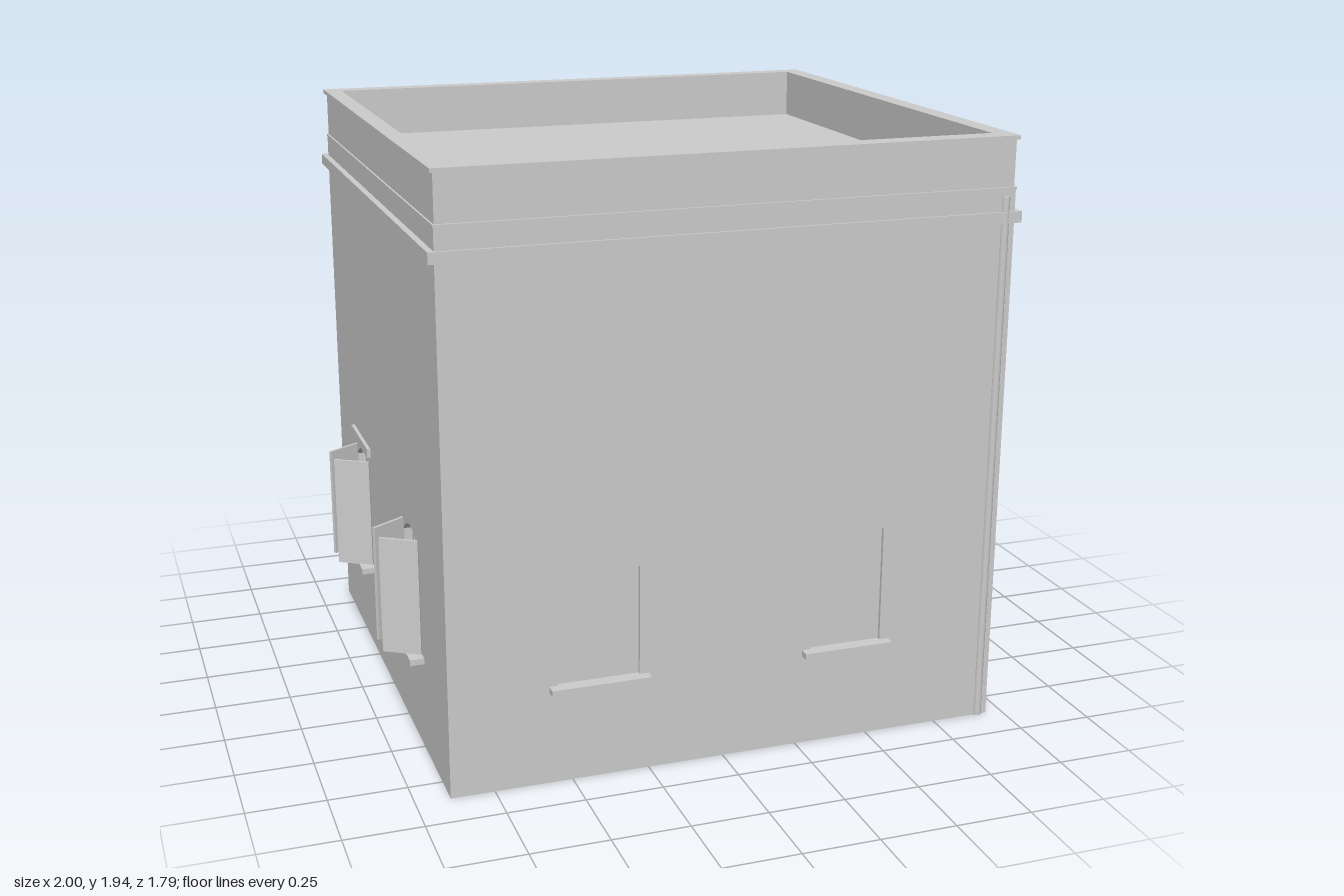
import * as THREE from 'three';

export function createModel() {
  const model = new THREE.Group();
  const plaster = new THREE.MeshStandardMaterial({ color: 0xcccccc });
  plaster.name = 'plaster grey';
  const dark = new THREE.MeshStandardMaterial({ color: 0x0d0d0d });
  dark.name = 'dark interior';

  function add(name, geometry, material = plaster, parent = model) {
    const mesh = new THREE.Mesh(geometry, material);
    mesh.name = name;
    parent.add(mesh);
    return mesh;
  }

  // box given by its limits on each axis
  function box(name, x0, x1, y0, y1, z0, z1, material) {
    const g = new THREE.BoxGeometry(x1 - x0, y1 - y0, z1 - z0);
    g.translate((x0 + x1) / 2, (y0 + y1) / 2, (z0 + z1) / 2);
    return add(name, g, material);
  }

  // rectangle outline; rise bends the top edge into an arch
  function outline(a, b, y0, y1, rise = 0, Type = THREE.Path) {
    const p = new Type();
    p.moveTo(a, y0);
    p.lineTo(b, y0);
    p.lineTo(b, y1 - rise);
    if (rise) p.quadraticCurveTo((a + b) / 2, y1 + rise, a, y1 - rise);
    else p.lineTo(a, y1);
    p.closePath();
    return p;
  }

  function slab(a, b, y0, y1, depth, holes) {
    const shape = outline(a, b, y0, y1, 0, THREE.Shape);
    shape.holes.push(...holes);
    return new THREE.ExtrudeGeometry(shape, { depth, bevelEnabled: false, curveSegments: 10 });
  }

  const L = -0.89, R = 0.945, B = -0.87, F = 0.86, roof = 1.78, wall = 0.06, recess = 0.012;
  const sillY = 0.323, headY = 0.71;

  // solid core, closed at the roof
  box('core', L + wall, R - wall, 0, roof, B, F - recess);

  // front wall with two blind windows
  const frontWindows = [[-0.545, -0.28, 0.685], [0.295, 0.54, headY]];
  const front = slab(L, R, 0, roof, recess, frontWindows.map(([a, b, t]) => outline(a, b, sillY, t)));
  front.translate(0, 0, F - recess);
  add('frontWall', front);
  for (const [a, b] of frontWindows) box('frontSill', a - 0.027, b + 0.03, 0.305, 0.325, F - 0.02, 0.893);

  // right wall: shape x runs along -z
  const right = slab(-(F - recess), -B, 0, roof, wall,
    [outline(-0.53, -0.28, sillY, headY), outline(0.29, 0.535, sillY, headY)]);
  right.rotateY(Math.PI / 2).translate(R - wall, 0, 0);
  add('rightWall', right);
  box('blindWindow', R - wall, R - recess, sillY, headY, -0.535, -0.29);
  box('rightSill', R - 0.02, 0.997, 0.305, 0.325, -0.565, -0.268);
  box('rightSill', R - 0.02, 0.997, 0.305, 0.325, 0.248, 0.55);

  // glazed window with frame bars and flat open shutters
  box('windowDark', R - wall, R - wall + 0.006, sillY, headY, 0.28, 0.53, dark);
  const bar = (y0, y1, z0, z1) => box('windowBar', R - 0.055, R - 0.03, y0, y1, z0, z1);
  bar(sillY, headY, 0.28, 0.302);
  bar(sillY, headY, 0.505, 0.53);
  bar(sillY, headY, 0.393, 0.412);
  bar(0.552, 0.568, 0.28, 0.53);
  bar(headY - 0.012, headY, 0.28, 0.53);
  bar(sillY, sillY + 0.01, 0.28, 0.53);
  box('flatShutter', R, 0.964, sillY, headY, 0.15, 0.28);
  box('flatShutter', R, 0.964, sillY, headY, 0.53, 0.655);

  // left wall with arched windows
  const leftWindows = [-0.42, 0.385];
  const half = 0.115;
  const left = slab(-(F - recess), -B, 0, roof, wall,
    leftWindows.map((z) => outline(-z - half, -z + half, sillY, 0.72, 0.05)));
  left.rotateY(Math.PI / 2).translate(L, 0, 0);
  add('leftWall', left);

  for (const z of leftWindows) {
    box('windowDark', L + wall - 0.006, L + wall, sillY, 0.72, z - half, z + half, dark);
    box('windowBar', L + 0.03, L + 0.05, sillY, 0.715, z - 0.009, z + 0.009);
    box('windowBar', L + 0.03, L + 0.05, 0.552, 0.568, z - half, z + half);
    for (const s of [-1, 1]) {
      box('windowBar', L + 0.03, L + 0.05, sillY, 0.67, z + s * 0.104 - 0.011, z + s * 0.104 + 0.011);
      // half-open shutter, hinged at the jamb
      const g = new THREE.BoxGeometry(0.13, headY - sillY, 0.01);
      g.translate(-0.065, 0, 0);
      const shutter = add('openShutter', g);
      shutter.position.set(L, (headY + sillY) / 2, z + s * half);
      shutter.rotation.y = -s * 0.57;
    }
    box('leftSill', -0.937, L + 0.02, 0.305, 0.325, z - 0.15, z + 0.15);
  }
  box('lintel', L - 0.012, L + 0.01, 0.737, 0.77, -0.57, -0.27);

  // rectangular ring around the top of the house
  function ring(name, x0, x1, z0, z1, y0, y1) {
    const g = slab(x0, x1, -z1, -z0, y1 - y0, [outline(-0.84, 0.89, -0.79, 0.82)]);
    g.rotateX(-Math.PI / 2).translate(0, y0, 0);
    add(name, g);
  }
  box('cornice', -0.91, 0.967, 1.672, 1.708, -0.895, 0.868);
  ring('parapet', L + 0.004, R - 0.003, B + 0.004, F - 0.006, roof, 1.93);
  ring('parapetCap', L - 0.006, 0.952, -0.88, F, 1.93, 1.943);
  ring('parapetLedge', L - 0.002, R + 0.002, B - 0.002, F + 0.002, roof - 0.004, roof + 0.004);

  // drainpipe near the front corner
  const pipe = new THREE.CylinderGeometry(0.014, 0.014, 1.755, 12);
  pipe.translate(0.913, 1.755 / 2, 0.857);
  add('drainpipe', pipe);

  return model;
}
